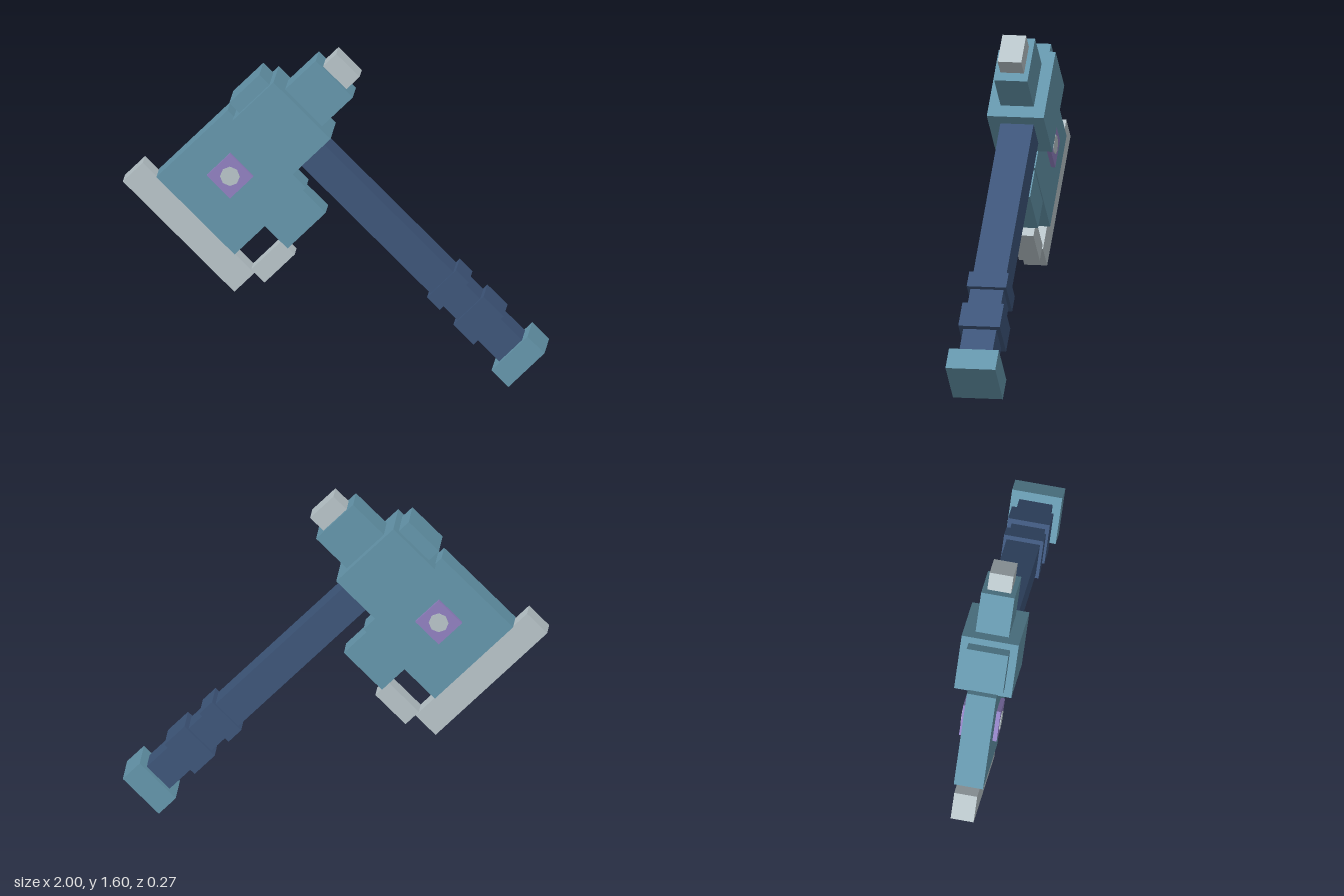
import * as THREE from 'three';

export function createModel() {
  const axe = new THREE.Group();
  axe.name = 'battleAxe';

  const mat = (name, color) => {
    const m = new THREE.MeshStandardMaterial({ color });
    m.name = name;
    return m;
  };
  const teal = mat('teal steel', 0x6495aa);
  const navy = mat('navy grip', 0x3d5579);
  const silver = mat('silver edge', 0xb7c3c8);
  const violet = mat('violet setting', 0x9080c0);

  // The axe leans 45 degrees. Each block is given by its ranges of
  // s = x + y (across the handle) and d = x - y (down the handle), and half depth.
  const block = (name, material, s0, s1, d0, d1, halfZ) => {
    const geo = new THREE.BoxGeometry((s1 - s0) / Math.SQRT2, (d1 - d0) / Math.SQRT2, halfZ * 2);
    const mesh = new THREE.Mesh(geo, material);
    const s = (s0 + s1) / 2, d = (d0 + d1) / 2;
    mesh.position.set((s + d) / 2, (s - d) / 2, 0);
    mesh.rotation.z = Math.PI / 4;
    mesh.name = name;
    axe.add(mesh);
  };

  // Handle with grip rings and pommel
  block('handle', navy, 0.895, 1.11, -1.22, 0.68, 0.08);
  block('upperGripRing', navy, 0.865, 1.14, 0.02, 0.14, 0.095);
  block('lowerGripRing', navy, 0.86, 1.145, 0.275, 0.465, 0.1);
  block('pommel', teal, 0.83, 1.17, 0.67, 0.83, 0.12);

  // Head socket, cap and rear hammer
  block('headSocket', teal, 0.8, 1.19, -1.75, -1.21, 0.137);
  block('headCap', teal, 0.86, 1.145, -1.845, -1.74, 0.1);
  block('rearHammer', teal, 1.18, 1.48, -1.65, -1.3, 0.08);
  block('rearTip', silver, 1.47, 1.605, -1.585, -1.365, 0.057);

  // Blade with its lower beard, cutting edge and hook
  block('blade', teal, 0.13, 0.805, -1.81, -1.07, 0.07);
  block('bladeBeard', teal, 0.415, 0.775, -1.075, -0.855, 0.065);
  block('cuttingEdge', silver, -0.06, 0.13, -1.94, -0.885, 0.055);
  block('edgeHook', silver, 0.13, 0.415, -0.917, -0.79, 0.05);

  // Gem in a square setting, shown on both faces
  block('gemSetting', violet, 0.39, 0.61, -1.59, -1.37, 0.09);
  for (const side of [1, -1]) {
    const gem = new THREE.Mesh(new THREE.CylinderGeometry(0.047, 0.047, 0.006, 8), silver);
    gem.name = side > 0 ? 'frontGem' : 'backGem';
    gem.rotation.x = Math.PI / 2;
    gem.position.set(-0.49, 0.99, side * 0.091);
    axe.add(gem);
  }
  return axe;
}
